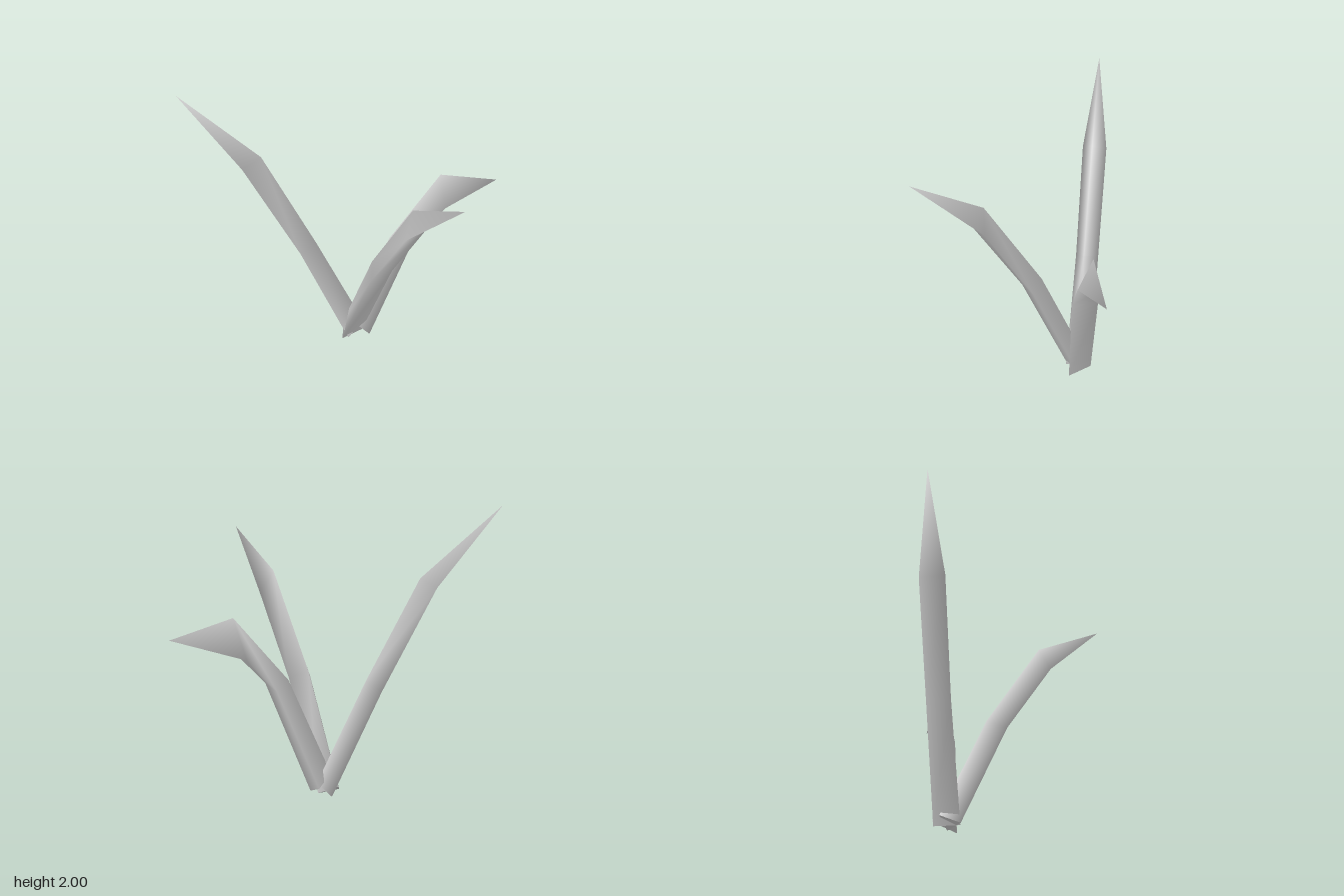
import * as THREE from 'three';

// Smooth three-sided leaf: rings of [ridge, edge, edge] corners from root to bend, then a point.
// Corners run clockwise seen from above.
function makeLeaf(name, rings, tip) {
  const points = [...rings.flat(), tip, ...rings[0]];
  const tipIndex = rings.length * 3;
  const index = [];
  for (let r = 0; r < rings.length; r++) {
    for (let s = 0; s < 3; s++) {
      const i = r * 3 + s;
      const j = r * 3 + (s + 1) % 3;
      if (r === rings.length - 1) index.push(i, tipIndex, j);
      else index.push(i, i + 3, j, j, i + 3, j + 3);
    }
  }
  // root cap, with its own corners so that its edge stays sharp
  index.push(tipIndex + 1, tipIndex + 2, tipIndex + 3);

  const geometry = new THREE.BufferGeometry();
  geometry.setAttribute('position', new THREE.Float32BufferAttribute(points.flat(), 3));
  geometry.setIndex(index);
  geometry.computeVertexNormals();
  const mesh = new THREE.Mesh(geometry, new THREE.MeshStandardMaterial({ color: 0xcccccc }));
  mesh.name = name;
  return mesh;
}

export function createModel() {
  const group = new THREE.Group();
  group.name = 'grassTuft';

  // tall leaf leaning to the front right
  group.add(makeLeaf('tallLeaf', [
    [[-0.25, 0.08, -0.02], [-0.23, 0, 0.13], [-0.37, 0, 0.02]],
    [[-0.44, 0.80, 0.25], [-0.45, 0.75, 0.38], [-0.58, 0.75, 0.28]],
    [[-0.66, 1.51, 0.53], [-0.67, 1.46, 0.68], [-0.80, 1.46, 0.56]],
  ], [-0.97, 2.0, 0.97]));

  // leaf arching to the left
  group.add(makeLeaf('sideLeaf', [
    [[-0.36, 0.06, 0.08], [-0.25, 0, -0.01], [-0.25, 0, 0.17]],
    [[0, 0.81, 0.08], [0.11, 0.75, -0.01], [0.11, 0.75, 0.17]],
    [[0.44, 1.47, 0.08], [0.48, 1.31, -0.01], [0.48, 1.29, 0.17]],
  ], [0.96, 1.74, 0.09]));

  // short leaf bending over to the back
  group.add(makeLeaf('backLeaf', [
    [[-0.26, 0.13, 0.09], [-0.33, 0.06, -0.06], [-0.17, 0, -0.02]],
    [[-0.15, 0.81, -0.19], [-0.22, 0.76, -0.33], [-0.03, 0.78, -0.30]],
    [[-0.04, 1.26, -0.56], [-0.13, 0.98, -0.51], [0.06, 1.04, -0.53]],
  ], [0.10, 1.13, -0.97]));

  return group;
}
